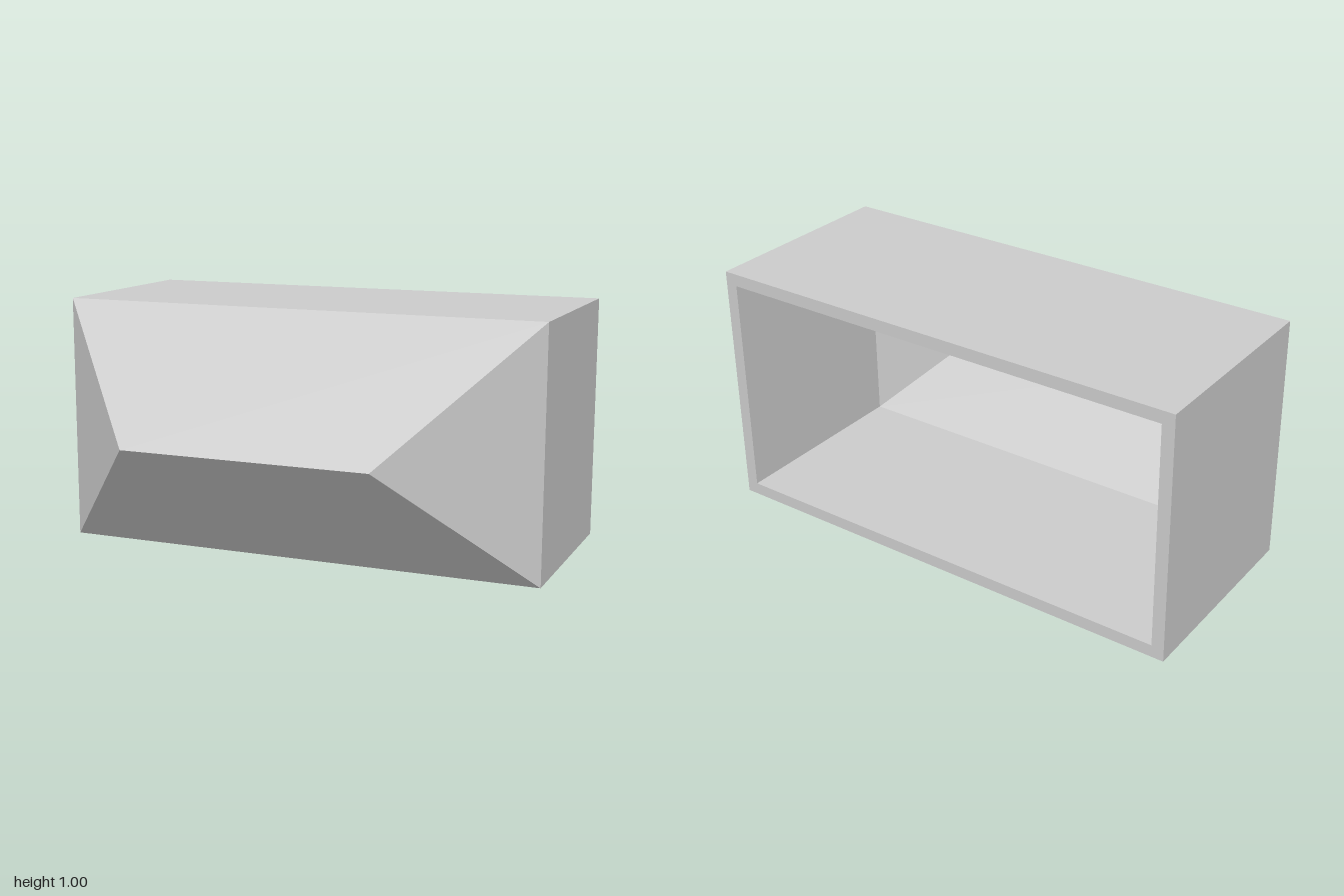
import * as THREE from 'three';

const BACK = -0.667;
const material = new THREE.MeshStandardMaterial({ color: 0xcccccc, flatShading: true });

// Open-backed box whose front rises at 45 degrees to a horizontal ridge.
function hippedBox(halfW, halfH, frontZ, inward) {
  const ring = (z) => [[-1, -1], [1, -1], [1, 1], [-1, 1]]
    .map(([x, y]) => [x * halfW, 0.5 + y * halfH, z]);
  const b = ring(BACK), f = ring(frontZ);
  const ridge = [-1, 1].map((s) => [s * (halfW - halfH), 0.5, frontZ + halfH]);

  const faces = b.map((p, i) => {
    const j = (i + 1) % 4;
    return [p, b[j], f[j], f[i]];
  });
  faces.push(
    [f[0], f[1], ridge[1], ridge[0]],
    [f[1], f[2], ridge[1]],
    [f[2], f[3], ridge[0], ridge[1]],
    [f[3], f[0], ridge[0]],
  );

  const positions = [];
  for (const face of faces) {
    const loop = inward ? [...face].reverse() : face;
    for (let i = 1; i < loop.length - 1; i++) {
      positions.push(...loop[0], ...loop[i], ...loop[i + 1]);
    }
  }
  const geometry = new THREE.BufferGeometry();
  geometry.setAttribute('position', new THREE.Float32BufferAttribute(positions, 3));
  geometry.computeVertexNormals();
  return geometry;
}

function rectangle(path, w, h) {
  path.moveTo(-w, -h);
  path.lineTo(w, -h);
  path.lineTo(w, h);
  path.lineTo(-w, h);
  path.closePath();
  return path;
}

export function createModel() {
  const model = new THREE.Group();
  model.name = 'hollowHippedBox';
  const add = (name, geometry) => {
    const mesh = new THREE.Mesh(geometry, material);
    mesh.name = name;
    model.add(mesh);
  };

  // Outside walls and faceted front
  add('outerShell', hippedBox(1, 0.5, 0.167, false));

  // Cavity walls, facing inward
  add('innerShell', hippedBox(0.95, 0.45, 0.13, true));

  // Flat frame around the opening at the back
  const frame = rectangle(new THREE.Shape(), 1, 0.5);
  frame.holes.push(rectangle(new THREE.Path(), 0.95, 0.45));
  add('backRim', new THREE.ShapeGeometry(frame).rotateY(Math.PI).translate(0, 0.5, BACK));

  return model;
}
